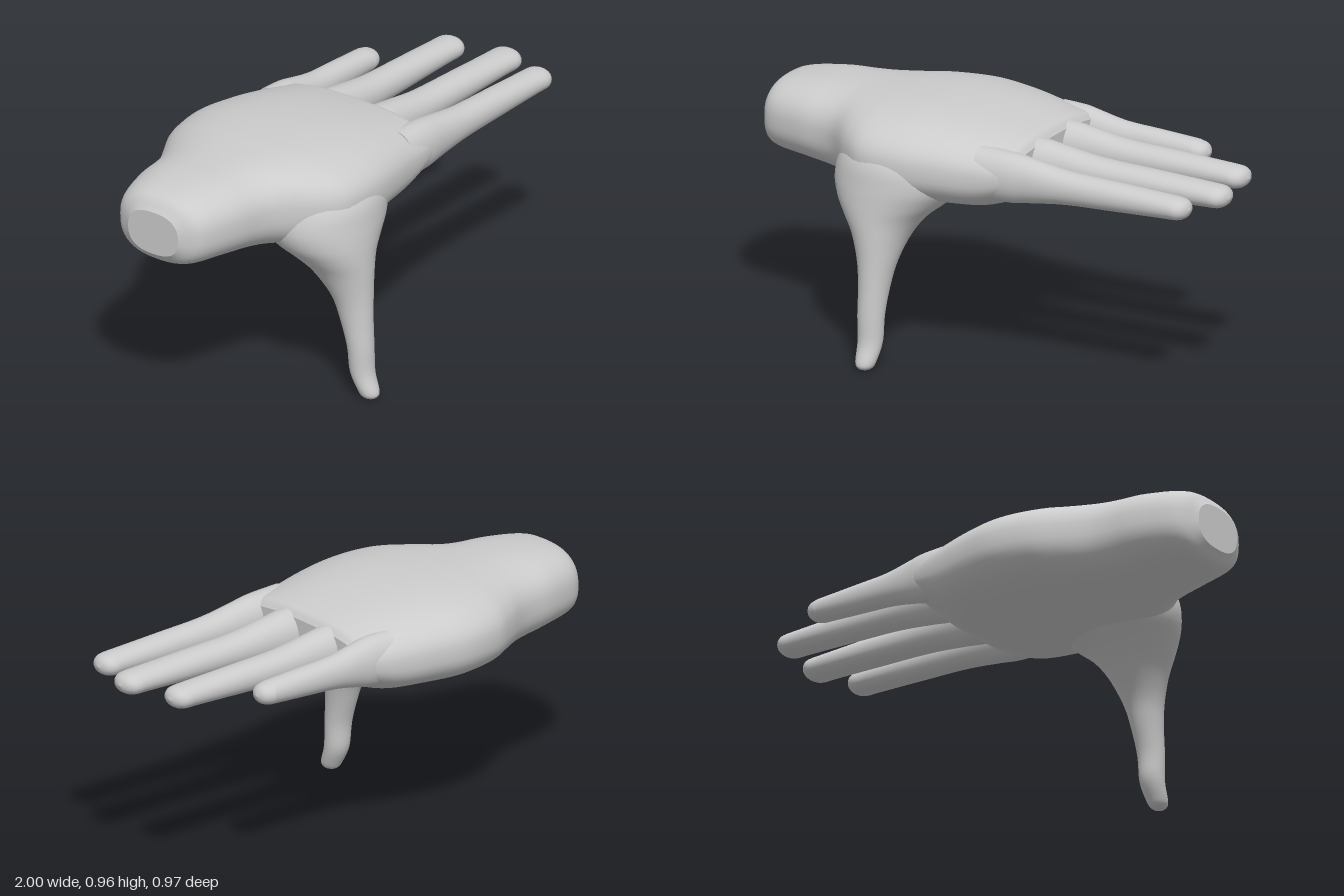
import * as THREE from 'three';

const material = new THREE.MeshStandardMaterial({ color: 0xcccccc });

// Smooth closed loft along an axis (0 = x, 1 = y).
// Section: [position, uMin, uMax, vMin, vMax]; (u, v) is (y, z) for axis x and (z, x) for axis y.
function loft(name, axis, sections, power = 2, steps = 4, sides = 40) {
  const mins = new THREE.CatmullRomCurve3(
    sections.map(s => new THREE.Vector3(s[0], s[1], s[3])), false, 'catmullrom', 0.5);
  const maxs = new THREE.CatmullRomCurve3(
    sections.map(s => new THREE.Vector3(s[0], s[2], s[4])), false, 'catmullrom', 0.5);
  const rows = (sections.length - 1) * steps;
  const positions = [], index = [];
  const put = (a, u, v) => {
    const p = [0, 0, 0];
    p[axis] = a;
    p[(axis + 1) % 3] = u;
    p[(axis + 2) % 3] = v;
    positions.push(...p);
  };
  const bend = c => Math.sign(c) * Math.pow(Math.abs(c), 2 / power);
  const ring = i => {
    const lo = mins.getPoint(i / rows), hi = maxs.getPoint(i / rows);
    for (let j = 0; j < sides; j++) {
      const t = (j / sides) * Math.PI * 2;
      put(lo.x,
        (lo.y + hi.y) / 2 + bend(Math.cos(t)) * (hi.y - lo.y) / 2,
        (lo.z + hi.z) / 2 + bend(Math.sin(t)) * (hi.z - lo.z) / 2);
    }
    return [lo.x, (lo.y + hi.y) / 2, (lo.z + hi.z) / 2];
  };

  // Side wall
  for (let i = 0; i <= rows; i++) ring(i);
  for (let i = 0; i < rows; i++) {
    for (let j = 0; j < sides; j++) {
      const k = (j + 1) % sides;
      const a = i * sides + j, b = i * sides + k;
      index.push(a, b, b + sides, a, b + sides, a + sides);
    }
  }
  // End caps with their own vertices, so the rims stay crisp
  for (const i of [0, rows]) {
    const start = positions.length / 3;
    put(...ring(i));
    for (let j = 0; j < sides; j++) {
      const a = start + j, b = start + (j + 1) % sides;
      if (i === 0) index.push(start + sides, b, a);
      else index.push(start + sides, a, b);
    }
  }

  const geometry = new THREE.BufferGeometry();
  geometry.setAttribute('position', new THREE.Float32BufferAttribute(positions, 3));
  geometry.setIndex(index);
  geometry.computeVertexNormals();
  const mesh = new THREE.Mesh(geometry, material);
  mesh.name = name;
  return mesh;
}

// Finger along x: thick at the knuckle, slim shaft, rounded tip
function finger(name, z, end, half) {
  const start = 0.05;
  const shaft = [
    [0, 1.3, 0.69, 0.89],
    [0.15, 1.22, 0.693, 0.886],
    [0.25, 1.1, 0.706, 0.874],
    [0.42, 1.0, 0.725, 0.853],
    [0.65, 0.97, 0.735, 0.845],
    [0.88, 0.97, 0.745, 0.836],
  ].map(([t, w, lo, hi]) =>
    [start + t * (end - start), lo, hi, z - half * w, z + half * w]);
  const tip = [[0.05, 1], [0.025, 0.85], [0.009, 0.55], [0, 0.08]].map(([back, s]) =>
    [end - back, 0.79 - 0.042 * s, 0.79 + 0.042 * s, z - half * s, z + half * s]);
  return loft(name, 0, [...shaft, ...tip], 2.1, 4, 28);
}

export function createModel() {
  const hand = new THREE.Group();
  hand.name = 'hand';

  // Wrist and palm: x, yMin, yMax, zMin, zMax
  hand.add(loft('palm', 0, [
    [-1.0, 0.69, 0.86, -0.18, 0.055],
    [-0.945, 0.645, 0.915, -0.26, 0.13],
    [-0.8, 0.63, 0.938, -0.31, 0.175],
    [-0.68, 0.618, 0.943, -0.33, 0.2],
    [-0.6, 0.612, 0.946, -0.355, 0.24],
    [-0.5, 0.605, 0.952, -0.41, 0.335],
    [-0.4, 0.6, 0.958, -0.46, 0.395],
    [-0.25, 0.6, 0.96, -0.485, 0.405],
    [-0.1, 0.607, 0.95, -0.465, 0.385],
    [0.03, 0.617, 0.932, -0.435, 0.36],
    [0.12, 0.648, 0.913, -0.41, 0.345],
    [0.17, 0.68, 0.898, -0.395, 0.336],
    [0.195, 0.715, 0.87, -0.375, 0.32],
  ], 2.5, 5, 64));

  // Four fingers: z, tip x, half width
  hand.add(
    finger('indexFinger', 0.264, 0.94, 0.06),
    finger('middleFinger', 0.07, 1.0, 0.066),
    finger('ringFinger', -0.157, 0.95, 0.063),
    finger('littleFinger', -0.337, 0.68, 0.053));

  // Thumb hanging down, flaring into the palm: y, zMin, zMax, xMin, xMax
  hand.add(loft('thumb', 1, [
    [0.0, 0.435, 0.457, -0.355, -0.335],
    [0.008, 0.415, 0.475, -0.372, -0.318],
    [0.03, 0.398, 0.481, -0.384, -0.306],
    [0.1, 0.362, 0.457, -0.391, -0.296],
    [0.2, 0.35, 0.453, -0.396, -0.293],
    [0.3, 0.318, 0.447, -0.401, -0.285],
    [0.4, 0.275, 0.443, -0.415, -0.268],
    [0.5, 0.19, 0.442, -0.455, -0.236],
    [0.57, 0.11, 0.439, -0.51, -0.19],
    [0.63, 0.03, 0.435, -0.56, -0.12],
    [0.7, 0.0, 0.428, -0.58, -0.06],
    [0.78, 0.0, 0.413, -0.56, -0.06],
    [0.86, 0.05, 0.36, -0.5, -0.12],
  ], 2, 4, 40));

  return hand;
}
